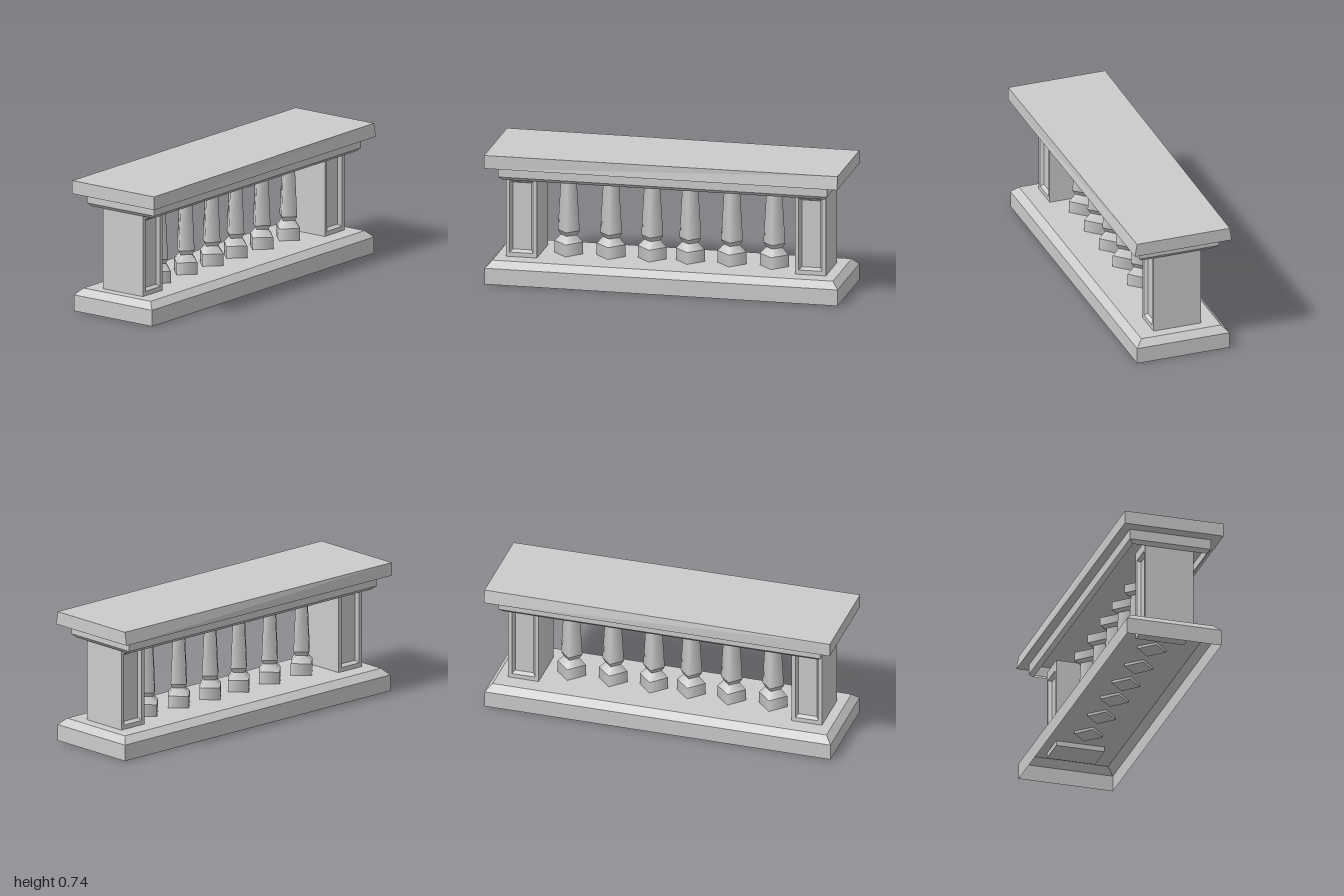
import * as THREE from 'three';
import { mergeGeometries } from 'three/addons/utils/BufferGeometryUtils.js';

const flat = new THREE.MeshStandardMaterial({ color: 0xcccccc, flatShading: true, side: THREE.DoubleSide });
const smooth = new THREE.MeshStandardMaterial({ color: 0xcccccc, side: THREE.DoubleSide });

// Skin over rectangles [z, halfWidth, halfHeight] stacked along z, with optional end caps
function loft(rings, capStart, capEnd) {
  const pos = [], index = [];
  for (const [z, w, h] of rings) pos.push(-w, -h, z, w, -h, z, w, h, z, -w, h, z);
  for (let r = 0; r < rings.length - 1; r++) {
    for (let i = 0; i < 4; i++) {
      const a = r * 4 + i, b = r * 4 + (i + 1) % 4;
      index.push(a, b, b + 4, a, b + 4, a + 4);
    }
  }
  const e = (rings.length - 1) * 4;
  if (capStart) index.push(0, 2, 1, 0, 3, 2);
  if (capEnd) index.push(e, e + 1, e + 2, e, e + 2, e + 3);
  const indexed = new THREE.BufferGeometry();
  indexed.setAttribute('position', new THREE.Float32BufferAttribute(pos, 3));
  indexed.setIndex(index);
  const geometry = indexed.toNonIndexed();
  geometry.computeVertexNormals();
  return geometry;
}

// Four-sided turned baluster: profile of [radius, y], corners facing the axes
function balusterGeometry() {
  const profile = [
    [0, 0.115], [0.082, 0.115], [0.082, 0.198], [0.046, 0.237], [0.062, 0.262],
    [0.045, 0.55], [0.058, 0.55], [0.082, 0.562], [0.082, 0.61], [0, 0.61],
  ];
  const parts = [];
  for (let i = 0; i < profile.length - 1; i++) {
    const [r0, y0] = profile[i], [r1, y1] = profile[i + 1];
    const part = new THREE.CylinderGeometry(r1, r0, y1 - y0, 4, 1, true);
    parts.push(part.translate(0, (y0 + y1) / 2, 0));
  }
  return mergeGeometries(parts);
}

export function createModel() {
  const group = new THREE.Group();
  const add = (name, geometry, material = flat) => {
    const mesh = new THREE.Mesh(geometry, material);
    mesh.name = name;
    group.add(mesh);
    return mesh;
  };

  // Hollow base with a chamfered top, open underneath
  add('base', loft([[0, 1, 0.273], [0.092, 1, 0.273], [0.13, 0.965, 0.235]], false, true).rotateX(-Math.PI / 2));

  // Hollow moulding under the top slab, open underneath
  add('moulding', loft([[0.59, 0.913, 0.213], [0.61, 0.932, 0.235], [0.668, 0.932, 0.235]], false, false).rotateX(-Math.PI / 2));

  // Top slab, its upper edge pinched slightly at the left end
  const slab = new THREE.BoxGeometry(2, 0.075, 0.572).translate(0, 0.7055, 0);
  const p = slab.attributes.position;
  for (let i = 0; i < p.count; i++) {
    if (p.getX(i) > 0 && p.getY(i) > 0.7) p.setZ(i, p.getZ(i) * 0.957);
  }
  slab.computeVertexNormals();
  add('topSlab', slab);

  // End piers with a sunken panel on the front and back
  const pier = loft([
    [-0.12, 0.053, 0.192], [-0.14, 0.066, 0.206], [-0.14, 0.088, 0.26],
    [0.14, 0.088, 0.26], [0.14, 0.066, 0.206], [0.12, 0.053, 0.192],
  ], true, true);
  for (const [name, x] of [['rightPier', -0.822], ['leftPier', 0.816]]) {
    add(name, pier).position.set(x, 0.361, 0);
  }

  // Row of balusters
  const baluster = balusterGeometry();
  [-0.585, -0.345, -0.112, 0.104, 0.34, 0.58].forEach((x, i) => {
    add('baluster' + (i + 1), baluster, smooth).position.x = x;
  });

  return group;
}
